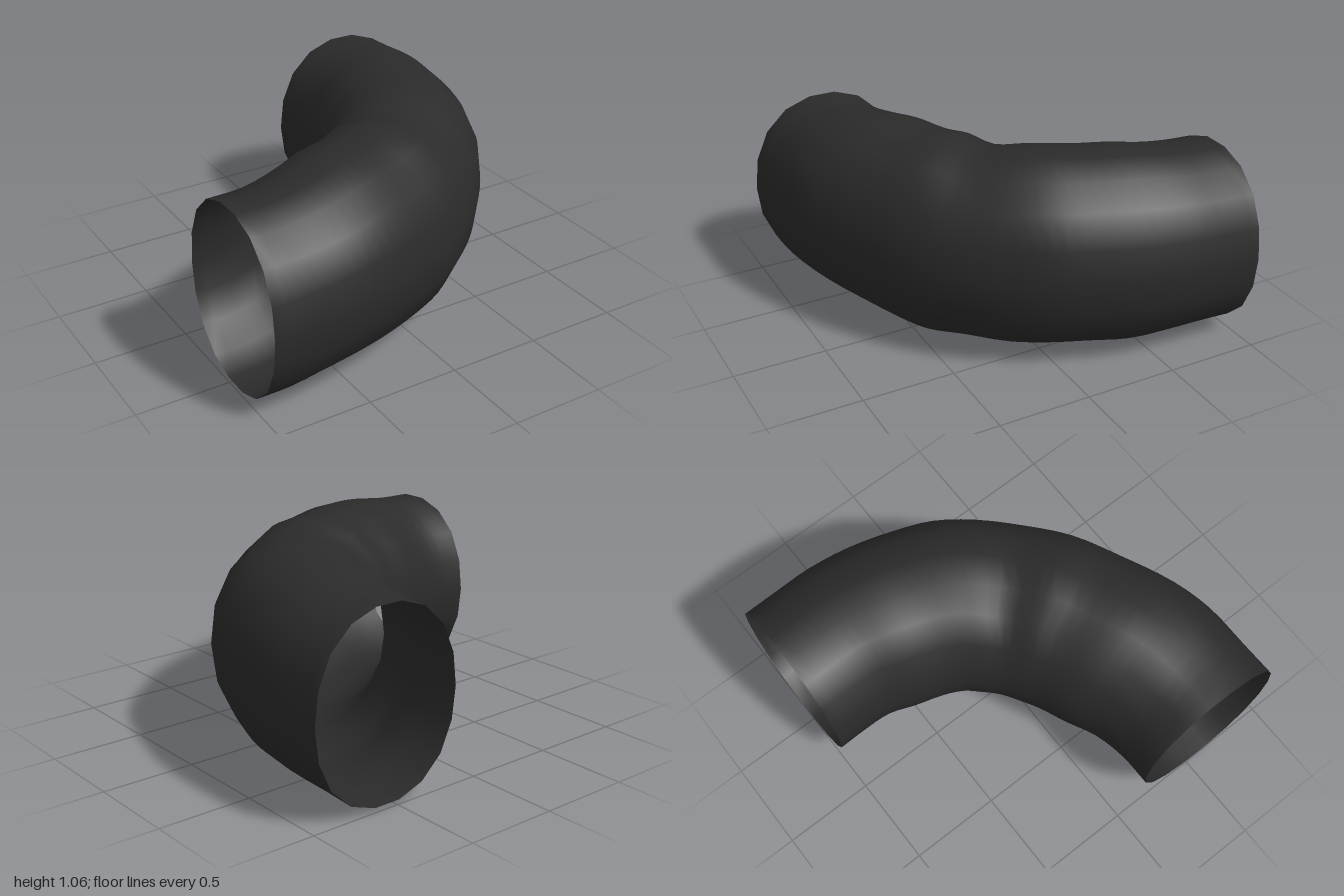
import * as THREE from 'three';

// Cross-sections along the bend: inner x, inner z, outer x, outer z, bottom y, top y
const stations = [
  [-1, 0.14, -1, 0.99, 0.03, 1.02],
  [-0.81, 0.135, -0.8, 0.985, 0.03, 1.025],
  [-0.64, 0.09, -0.53, 0.97, 0.05, 1.055],
  [-0.49, 0.015, -0.3, 0.915, 0.04, 1.075],
  [-0.33, -0.05, -0.02, 0.8, 0.02, 1.07],
  [-0.24, -0.1, 0.24, 0.665, 0.005, 1.08],
  [-0.15, -0.16, 0.46, 0.5, 0.035, 1.045],
  [-0.07, -0.24, 0.65, 0.3, 0.03, 1.07],
  [-0.02, -0.3, 0.79, 0.1, 0.04, 1.08],
  [0.03, -0.4, 0.88, -0.12, 0.04, 1.075],
  [0.08, -0.55, 0.95, -0.36, 0.025, 1.07],
  [0.13, -0.69, 0.985, -0.6, 0.04, 1.05],
  [0.14, -0.84, 0.99, -0.81, 0.04, 1.03],
  [0.14, -1, 0.99, -1, 0.03, 1.02],
];

const SIDES = 18;
const ROWS = 39;

// Smooth open tube through the elliptical cross-sections
function bentTube() {
  const curve = (f) => new THREE.CatmullRomCurve3(stations.map(f));
  const inner = curve((s) => new THREE.Vector3(s[0], s[4], s[1]));
  const outer = curve((s) => new THREE.Vector3(s[2], s[5], s[3]));
  const positions = [];
  const index = [];
  for (let i = 0; i <= ROWS; i++) {
    const a = inner.getPoint(i / ROWS);
    const b = outer.getPoint(i / ROWS);
    for (let j = 0; j < SIDES; j++) {
      const t = (j / SIDES) * Math.PI * 2;
      // slightly fuller than an ellipse
      const fuller = 1 + 0.03 * Math.sin(2 * t) ** 2;
      const c = 0.5 + 0.5 * Math.cos(t) * fuller;
      const s = 0.5 + 0.5 * Math.sin(t) * fuller;
      positions.push(a.x + (b.x - a.x) * c, a.y + (b.y - a.y) * s, a.z + (b.z - a.z) * c);
      if (i < ROWS) {
        const p = i * SIDES + j;
        const q = i * SIDES + ((j + 1) % SIDES);
        index.push(p, p + SIDES, q, q, p + SIDES, q + SIDES);
      }
    }
  }
  const geometry = new THREE.BufferGeometry();
  geometry.setAttribute('position', new THREE.Float32BufferAttribute(positions, 3));
  geometry.setIndex(index);
  geometry.computeVertexNormals();
  return geometry;
}

export function createModel() {
  const group = new THREE.Group();
  group.name = 'bentPipe';
  const rubber = new THREE.MeshStandardMaterial({ color: 0x2b2b2b, side: THREE.DoubleSide });
  rubber.name = 'black rubber';
  const hose = new THREE.Mesh(bentTube(), rubber);
  hose.name = 'elbowTube';
  group.add(hose);
  return group;
}
